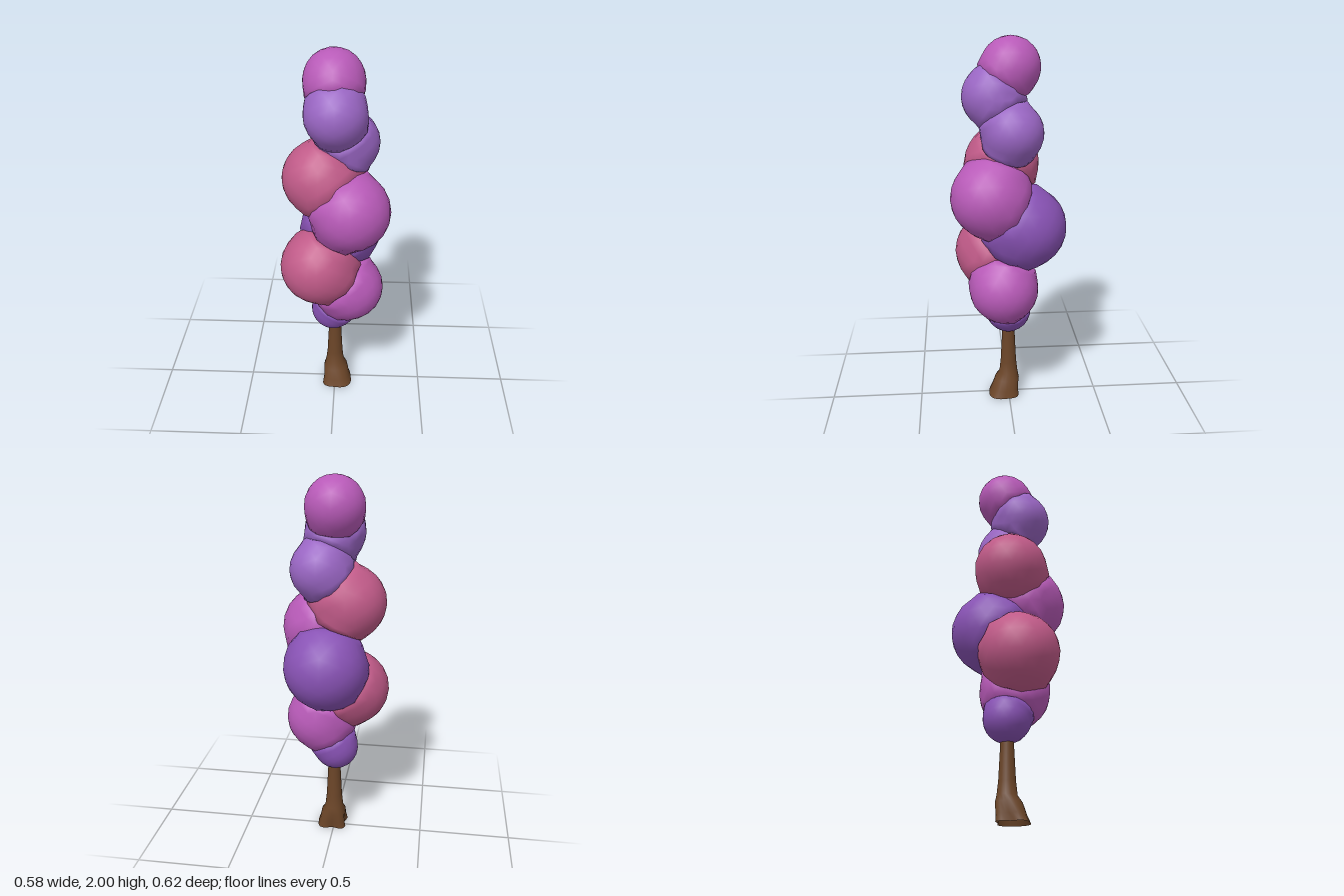
import * as THREE from 'three';
import { mergeVertices } from 'three/addons/utils/BufferGeometryUtils.js';

const MAGENTA = 0xb85ab8, PURPLE = 0x8852b4, LILAC = 0x9a66c4, PINK = 0xc05a88;

// Leaf clumps, from bottom to top: centre x, y, z, radius, colour
const CLUMPS = [
  [-0.01, 0.51, 0.00, 0.122, PURPLE],
  [0.08, 0.68, 0.03, 0.186, MAGENTA],
  [-0.085, 0.845, 0.08, 0.206, PINK],
  [0.036, 1.015, -0.085, 0.222, PURPLE],
  [0.083, 1.19, 0.10, 0.208, MAGENTA],
  [-0.075, 1.345, 0.03, 0.197, PINK],
  [0.07, 1.525, -0.02, 0.157, LILAC],
  [0.005, 1.70, 0.083, 0.157, LILAC],
  [-0.005, 1.847, -0.012, 0.153, MAGENTA],
].map(([x, y, z, r, color]) => ({ c: new THREE.Vector3(x, y, z), r, color }));

const BLEND = 0.024;

// Smooth union of all clumps: signed distance, with its gradient written to grad
function smoothUnion(p, grad) {
  let sum = 0;
  grad.set(0, 0, 0);
  for (const { c, r } of CLUMPS) {
    const w = Math.exp(-(p.distanceTo(c) - r) / BLEND);
    sum += w;
    grad.addScaledVector(p.clone().sub(c).normalize(), w);
  }
  grad.divideScalar(sum);
  return -BLEND * Math.log(sum);
}

// A ball whose surface swells into soft fillets where it meets its neighbours
function clumpGeometry(clump) {
  let g = new THREE.IcosahedronGeometry(clump.r, 3);
  g.deleteAttribute('uv');
  g.deleteAttribute('normal');
  g = mergeVertices(g, 1e-4);
  g.translate(clump.c.x, clump.c.y, clump.c.z);
  const pos = g.attributes.position;
  const p = new THREE.Vector3(), start = new THREE.Vector3(), grad = new THREE.Vector3();
  for (let i = 0; i < pos.count; i++) {
    p.fromBufferAttribute(pos, i);
    start.copy(p);
    const nearest = Math.min(...CLUMPS.filter((o) => o !== clump).map((o) => p.distanceTo(o.c) - o.r));
    // Vertices buried in a neighbour stay inside it
    const weight = THREE.MathUtils.smoothstep(nearest, -0.035, 0);
    if (weight === 0) continue;
    for (let k = 0; k < 4; k++) {
      const f = smoothUnion(p, grad);
      p.addScaledVector(grad, -f / Math.max(grad.lengthSq(), 0.35));
    }
    p.lerpVectors(start, p, weight);
    pos.setXYZ(i, p.x, p.y, p.z);
  }
  g.computeVertexNormals();
  return g;
}

// Trunk: a slim turned stem whose foot spreads into roots, mostly to the rear
function trunkGeometry() {
  const profile = [[0.098, 0], [0.084, 0.04], [0.072, 0.095], [0.052, 0.13], [0.044, 0.2],
    [0.039, 0.3], [0.035, 0.38], [0.035, 0.48]].map(([r, y]) => new THREE.Vector2(r, y));
  let g = new THREE.LatheGeometry(profile, 24);
  g.deleteAttribute('uv');
  g.deleteAttribute('normal');
  g = mergeVertices(g, 1e-5);
  const pos = g.attributes.position;
  for (let i = 0; i < pos.count; i++) {
    const x = pos.getX(i), y = pos.getY(i), z = pos.getZ(i);
    const foot = Math.max(0, 1 - y / 0.13);
    const a = Math.atan2(z, x);
    const rear = 0.5 - 0.5 * Math.cos(a - Math.PI / 4);
    const s = 1 - foot * 0.14 * (0.3 + rear) * (1 + Math.cos(4 * a));
    pos.setXYZ(i, x * s + 0.01 * foot, y, z * s + 0.025 * foot);
  }
  g.computeVertexNormals();
  return g;
}

export function createModel() {
  const tree = new THREE.Group();
  tree.name = 'tree';

  const trunk = new THREE.Mesh(trunkGeometry(),
    new THREE.MeshStandardMaterial({ color: 0x6b4528, side: THREE.DoubleSide }));
  trunk.name = 'trunk';
  tree.add(trunk);

  const foliage = new THREE.Group();
  foliage.name = 'foliage';
  CLUMPS.forEach((clump, i) => {
    const mesh = new THREE.Mesh(clumpGeometry(clump),
      new THREE.MeshStandardMaterial({ color: clump.color }));
    mesh.name = `leafClump${i + 1}`;
    foliage.add(mesh);
  });
  tree.add(foliage);
  return tree;
}
